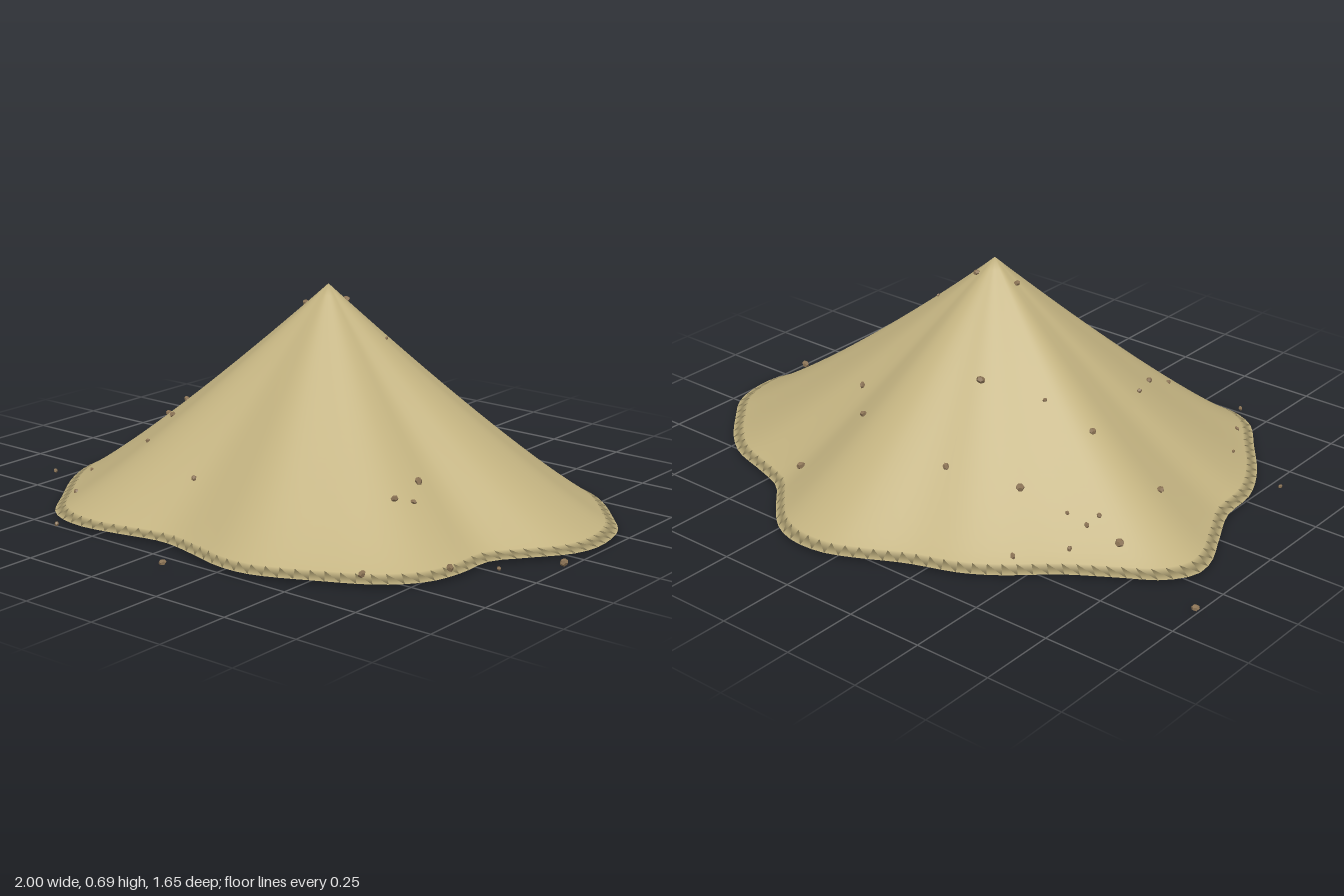
import * as THREE from 'three';

const SEGMENTS = 120, RINGS = 24;
const PEAK = 0.69, GROUND = 0.014, CENTRE_X = 0.05, MEAN_RADIUS = 0.83;

// Wavy foot of the pile as x, z pairs, anticlockwise seen from above
const RIM = [
  0.99, -0.09, 0.96, -0.25, 0.875, -0.36, 0.775, -0.465, 0.68, -0.53, 0.535, -0.575, 0.43, -0.615,
  0.35, -0.695, 0.245, -0.79, 0.15, -0.825, 0.04, -0.82, -0.05, -0.785, -0.195, -0.71, -0.355, -0.65,
  -0.45, -0.59, -0.59, -0.47, -0.72, -0.385, -0.835, -0.31, -0.89, -0.225, -0.885, -0.145,
  -0.825, -0.01, -0.765, 0.125, -0.75, 0.265, -0.69, 0.4, -0.575, 0.56, -0.48, 0.68, -0.4, 0.72,
  -0.305, 0.73, -0.185, 0.71, -0.025, 0.68, 0.135, 0.71, 0.24, 0.735, 0.35, 0.73, 0.535, 0.65,
  0.695, 0.56, 0.78, 0.46, 0.81, 0.345, 0.815, 0.215, 0.885, 0.115, 0.965, 0.005,
];

// Loose pebbles as x, z, radius
const PEBBLES = [
  -0.99, -0.375, 0.012, -0.45, -0.525, 0.01, -0.565, -0.405, 0.009, -0.675, -0.31, 0.014,
  -0.585, -0.29, 0.008, -0.57, -0.33, 0.009, -0.505, -0.34, 0.007, -0.36, -0.38, 0.013,
  -0.145, -0.465, 0.011, -0.105, -0.255, 0.014, -0.285, -0.17, 0.007, -0.44, -0.135, 0.011,
  -0.65, -0.075, 0.012, -0.375, 0.19, 0.009, -0.33, 0.305, 0.01, -0.32, 0.43, 0.008,
  -0.595, 0.405, 0.007, -0.79, 0.38, 0.007, -0.5, 0.57, 0.008, -0.39, 0.76, 0.008,
  -0.05, 0.515, 0.009, 0.095, 0.81, 0.011, 0.63, 0.57, 0.013, 0.565, 0.22, 0.013,
  0.6, 0.29, 0.009, 0.565, 0.335, 0.012, 0.785, 0.365, 0.013, 0.87, 0.245, 0.006,
  0.985, 0.085, 0.012, 0.32, -0.325, 0.011, 0.22, -0.43, 0.012, 0.375, -0.555, 0.014,
  0.23, -0.06, 0.006, 0.09, -0.04, 0.011, -0.03, 0.01, 0.011,
];

// Closed mound: rings from peak to foot, sharing the foot ring with the flat underside
function moundGeometry() {
  const rimPoints = [];
  for (let i = 0; i < RIM.length; i += 2) rimPoints.push(new THREE.Vector3(RIM[i], 0, RIM[i + 1]));
  const rim = new THREE.CatmullRomCurve3(rimPoints, true).getSpacedPoints(SEGMENTS);

  const positions = [CENTRE_X, PEAK, 0];
  const index = [];
  const at = (ring, j) => 1 + (ring - 1) * SEGMENTS + (j % SEGMENTS);
  for (let ring = 1; ring <= RINGS; ring++) {
    const t = ring / RINGS;
    const y = GROUND + (PEAK - GROUND) * Math.pow(1 - t, 1.13);
    for (let j = 0; j < SEGMENTS; j++) {
      const dx = rim[j].x - CENTRE_X, dz = rim[j].z;
      const radius = Math.hypot(dx, dz);
      // the lobes fade slightly towards the peak
      const r = MEAN_RADIUS * t + (radius - MEAN_RADIUS) * Math.pow(t, 1.3);
      positions.push(CENTRE_X + (dx / radius) * r, y, (dz / radius) * r);
    }
  }
  const bottom = positions.length / 3;
  positions.push(CENTRE_X, GROUND, 0);

  for (let j = 0; j < SEGMENTS; j++) {
    index.push(0, at(1, j), at(1, j + 1));
    for (let ring = 1; ring < RINGS; ring++) {
      const a = at(ring, j), b = at(ring, j + 1), c = at(ring + 1, j), d = at(ring + 1, j + 1);
      index.push(a, c, d, a, d, b);
    }
    index.push(bottom, at(RINGS, j + 1), at(RINGS, j));
  }
  const geometry = new THREE.BufferGeometry();
  geometry.setAttribute('position', new THREE.Float32BufferAttribute(positions, 3));
  geometry.setIndex(index);
  geometry.computeVertexNormals();
  return geometry;
}

export function createModel() {
  const sand = new THREE.MeshStandardMaterial({ color: 0xc2b280 });
  sand.name = 'sand';
  const stone = new THREE.MeshStandardMaterial({ color: 0x8b7355 });
  stone.name = 'stone';

  const model = new THREE.Group();
  model.name = 'sandPile';

  const mound = new THREE.Mesh(moundGeometry(), sand);
  mound.name = 'mound';
  model.add(mound);

  // Pebbles dropped straight down onto the slope or the ground
  const pebbles = new THREE.Group();
  pebbles.name = 'pebbles';
  const pebbleShape = new THREE.DodecahedronGeometry(1, 0);
  const ray = new THREE.Raycaster();
  const down = new THREE.Vector3(0, -1, 0);
  for (let i = 0; i < PEBBLES.length; i += 3) {
    const [x, z, size] = PEBBLES.slice(i, i + 3);
    ray.set(new THREE.Vector3(x, 2, z), down);
    const hit = ray.intersectObject(mound)[0];
    const pebble = new THREE.Mesh(pebbleShape, stone);
    pebble.name = 'pebble';
    pebble.position.set(x, hit ? hit.point.y + size * 0.3 : GROUND, z);
    pebble.rotation.set(i * 1.3, i * 2.1, i * 0.7);
    pebble.scale.set(size * 1.1, size * 0.8, size);
    pebbles.add(pebble);
  }
  model.add(pebbles);
  return model;
}
